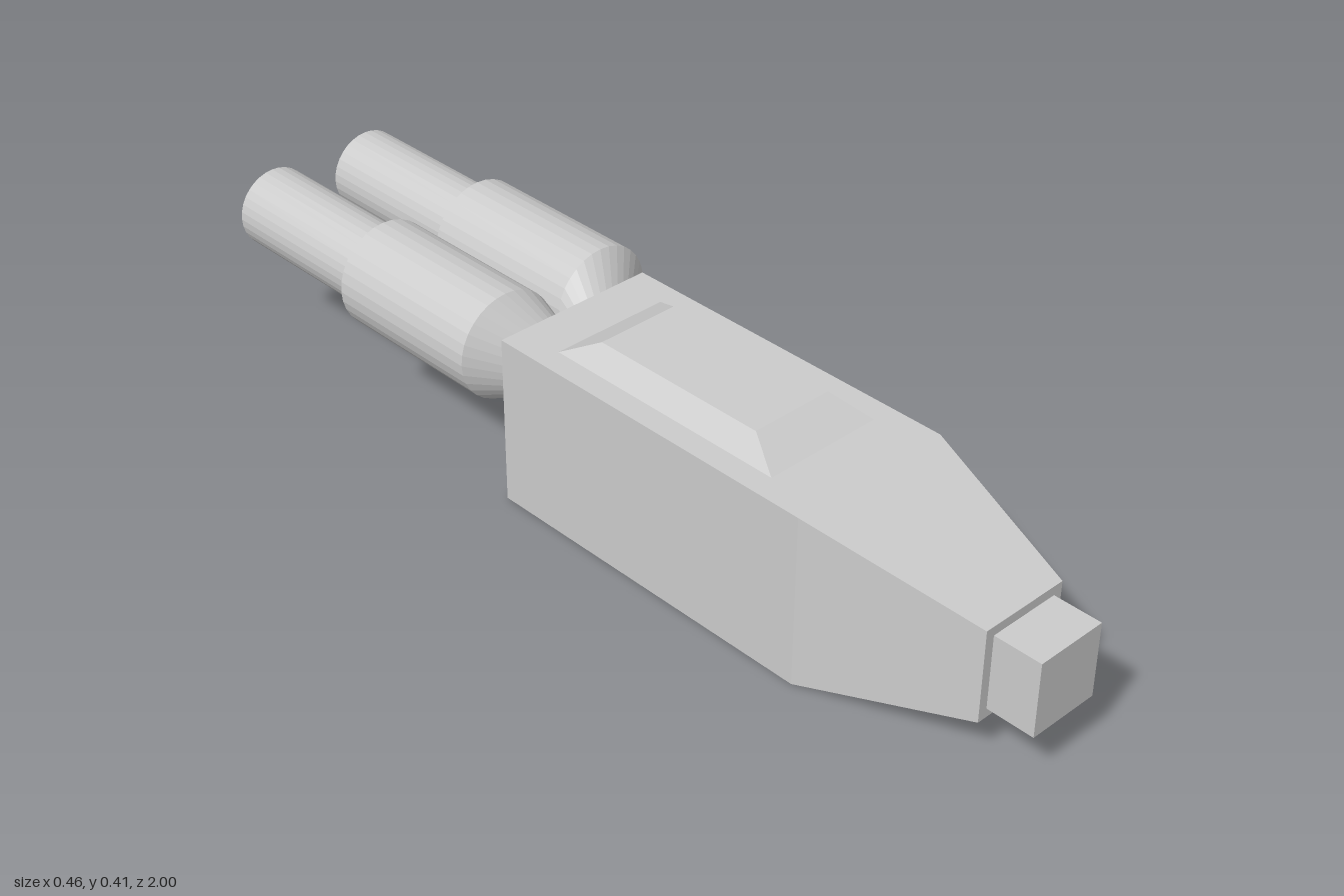
import * as THREE from 'three';

const material = new THREE.MeshStandardMaterial({ color: 0xcccccc, flatShading: true });

function add(parent, name, geometry, x = 0, y = 0, z = 0) {
  const mesh = new THREE.Mesh(geometry, material);
  mesh.name = name;
  mesh.position.set(x, y, z);
  parent.add(mesh);
  return mesh;
}

// Box whose vertices are scaled by (sx, sy, sz) wherever the chosen axis is positive
function taperedBox(w, h, d, axis, sx, sy, sz) {
  const g = new THREE.BoxGeometry(w, h, d);
  const p = g.attributes.position;
  const v = new THREE.Vector3();
  for (let i = 0; i < p.count; i++) {
    v.fromBufferAttribute(p, i);
    if (v[axis] > 0) v.multiply(new THREE.Vector3(sx, sy, sz));
    p.setXYZ(i, v.x, v.y, v.z);
  }
  g.computeVertexNormals();
  return g;
}

// Cylinder along z: rFront faces +z, rBack faces -z
function zCylinder(rFront, rBack, length) {
  return new THREE.CylinderGeometry(rFront, rBack, length, 32).rotateX(Math.PI / 2);
}

export function createModel() {
  const model = new THREE.Group();
  model.name = 'model';

  // Square body, tapering nose and front tip
  const backZ = -0.207, noseZ = 0.553;
  add(model, 'body', new THREE.BoxGeometry(0.358, 0.36, noseZ - backZ), 0, 0.18, (noseZ + backZ) / 2);
  add(model, 'nose', taperedBox(0.358, 0.36, 0.9 - noseZ, 'z', 0.54, 0.54, 1), 0, 0.18, (0.9 + noseZ) / 2);
  add(model, 'tip', new THREE.BoxGeometry(0.154, 0.156, 0.1), 0, 0.18, 0.95);

  // Bevelled panel on the roof
  add(model, 'roofPanel', taperedBox(0.258, 0.04, 0.546, 'y', 0.7, 1, 0.72), 0, 0.38, 0.169);

  // Twin rear thrusters: skewed collar, wide housing, narrow barrel
  for (const side of [1, -1]) {
    const thruster = new THREE.Group();
    thruster.name = side > 0 ? 'leftThruster' : 'rightThruster';
    thruster.position.set(side * 0.12, 0.3, 0);
    model.add(thruster);

    const collar = zCylinder(0.077, 0.112, 0.055);
    const p = collar.attributes.position;
    for (let i = 0; i < p.count; i++) {
      if (p.getZ(i) > 0) p.setXY(i, p.getX(i) - side * 0.035, p.getY(i) - 0.023);
    }
    collar.computeVertexNormals();
    add(thruster, 'collar', collar, 0, 0, -0.2345);
    add(thruster, 'housing', zCylinder(0.112, 0.112, 0.368), 0, 0, -0.446);
    add(thruster, 'barrel', zCylinder(0.085, 0.085, 0.37), 0, 0, -0.815);
  }

  return model;
}
